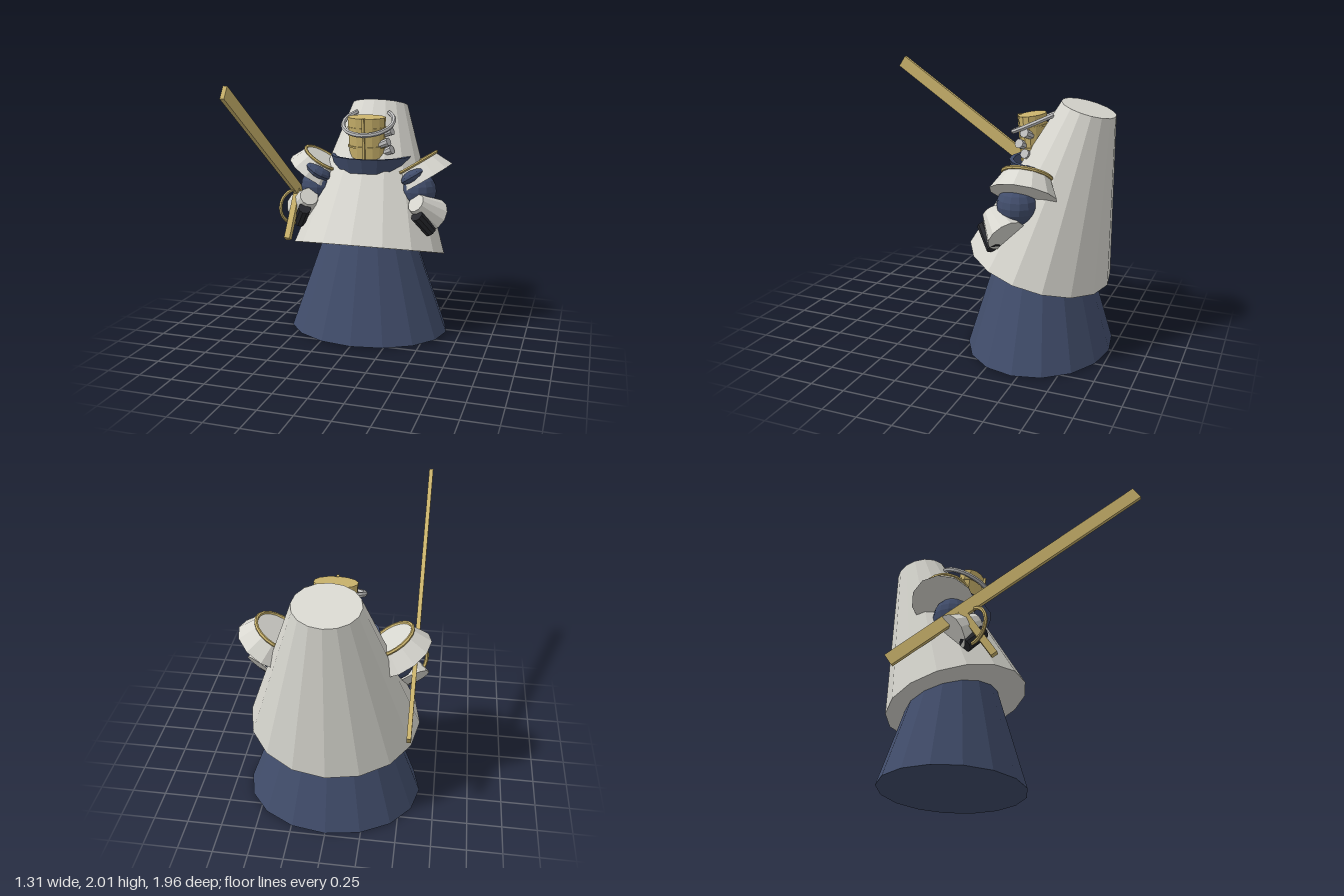
import * as THREE from 'three';

const paint = (name, color) => {
  const m = new THREE.MeshStandardMaterial({ color });
  m.name = name;
  return m;
};

// faceted mesh: every face gets its own normal
function part(parent, name, geometry, material, pos = [0, 0, 0]) {
  const g = geometry.index ? geometry.toNonIndexed() : geometry;
  g.computeVertexNormals();
  const mesh = new THREE.Mesh(g, material);
  mesh.name = name;
  mesh.position.set(...pos);
  parent.add(mesh);
  return mesh;
}

// frustum running from point a (radius ra) to point b (radius rb)
function rod(parent, name, a, b, ra, rb, sides, material) {
  const va = new THREE.Vector3(...a), vb = new THREE.Vector3(...b);
  const dir = vb.clone().sub(va);
  const mid = va.clone().add(vb).multiplyScalar(0.5);
  const mesh = part(parent, name, new THREE.CylinderGeometry(rb, ra, dir.length(), sides), material, mid.toArray());
  mesh.quaternion.setFromUnitVectors(new THREE.Vector3(0, 1, 0), dir.normalize());
  return mesh;
}

function group(parent, name, pos) {
  const g = new THREE.Group();
  g.name = name;
  g.position.set(...pos);
  parent.add(g);
  return g;
}

export function createModel() {
  const white = paint('off white', 0xd8d7d0);
  const blue = paint('navy blue', 0x414d6b);
  const gold = paint('gold', 0xcab36c);
  const black = paint('black', 0x28292e);
  const silver = paint('silver', 0xc0c0c0);

  const model = new THREE.Group();
  model.name = 'armouredFigure';

  // long skirt
  part(model, 'skirt', new THREE.CylinderGeometry(0.33, 0.64, 0.86, 16).scale(1, 1, 0.82), blue, [0, 0.43, -0.455]);

  // tall coat leaning back
  const coat = part(model, 'coat', new THREE.CylinderGeometry(0.225, 0.61, 1.165, 16).scale(1, 1, 0.857), white, [0, 1.21, -0.605]);
  coat.rotation.x = -0.279;

  // open flared collar
  const collarProfile = [[0.24, 1.27], [0.275, 1.265], [0.318, 1.395], [0.285, 1.395], [0.24, 1.27]]
    .map(([x, y]) => new THREE.Vector2(x, y));
  part(model, 'collar', new THREE.LatheGeometry(collarProfile, 16).scale(1, 1, 0.88), blue, [0, 0, -0.49]);

  // masked head with ridge, bands and breathing knobs
  const head = group(model, 'head', [0, 1.54, -0.375]);
  head.rotation.x = 0.1;
  part(head, 'face', new THREE.CylinderGeometry(0.15, 0.14, 0.33, 14).scale(1, 1, 0.62), gold);
  part(head, 'noseRidge', new THREE.BoxGeometry(0.018, 0.34, 0.03), gold, [0, 0, 0.095]);
  for (const y of [0.085, -0.06]) {
    part(head, 'faceBand', new THREE.CylinderGeometry(0.154, 0.153, 0.014, 14).scale(1, 1, 0.64), gold, [0, y, 0]);
  }
  for (const [x, y, z] of [[0.15, 0.045, -0.02], [0.135, -0.03, 0.03], [0.15, -0.1, -0.01]]) {
    rod(head, 'breathingKnob', [x - 0.04, y - 0.02, z], [x + 0.05, y + 0.02, z + 0.02], 0.026, 0.034, 8, silver);
  }

  // crescent crest opening to the rear
  const gap = 0.7;
  const crescent = new THREE.TorusGeometry(0.197, 0.018, 6, 24, Math.PI * 2 - gap * 2);
  crescent.rotateZ(-Math.PI * 1.5 + gap).rotateX(Math.PI / 2 * -1);
  const crest = part(model, 'crescentCrest', crescent, silver, [0, 1.66, -0.41]);
  crest.rotation.x = 0.436;

  // arms
  for (const s of [1, -1]) {
    const arm = group(model, s > 0 ? 'leftArm' : 'rightArm', [0, 0, 0]);

    const shoulder = group(arm, 'shoulderGuard', [s * 0.42, 1.296, -0.46]);
    shoulder.rotation.z = s * 0.56;
    part(shoulder, 'shoulderPlate', new THREE.CylinderGeometry(0.16, 0.232, 0.14, 12), white);
    part(shoulder, 'shoulderTrim', new THREE.TorusGeometry(0.167, 0.013, 6, 20).rotateX(Math.PI / 2), gold, [0, 0.07, 0]);
    part(shoulder, 'shoulderPad', new THREE.SphereGeometry(0.12, 12, 8).scale(1, 0.45, 1), blue, [s * -0.04, 0, 0.11]);

    part(arm, 'upperArm', new THREE.SphereGeometry(0.142, 14, 10), blue, [s * 0.405, 1.15, -0.4]);
    rod(arm, 'cuff', [s * 0.425, 1.085, -0.225], [s * 0.53, 0.965, -0.37], 0.072, 0.137, 12, white);
    rod(arm, 'hand', [s * 0.445, 1.0, -0.175], [s * 0.53, 0.865, -0.28], 0.05, 0.05, 10, black);
  }

  // long bladed baton with a crosswise grip
  const baton = group(model, 'baton', [-0.55, 1.373, 0.072]);
  baton.rotation.x = -0.594;
  part(baton, 'blade', new THREE.BoxGeometry(0.03, 0.095, 2.12), gold);
  part(baton, 'grip', new THREE.BoxGeometry(0.046, 0.42, 0.05), gold, [0, -0.21, -0.454]);

  // half ring guarding the hand
  const guard = new THREE.TorusGeometry(0.132, 0.014, 6, 14, Math.PI).rotateZ(Math.PI / 2);
  const handGuard = part(model, 'handGuard', guard, gold, [-0.545, 1.0, -0.225]);
  handGuard.rotation.y = 0.92;

  return model;
}
